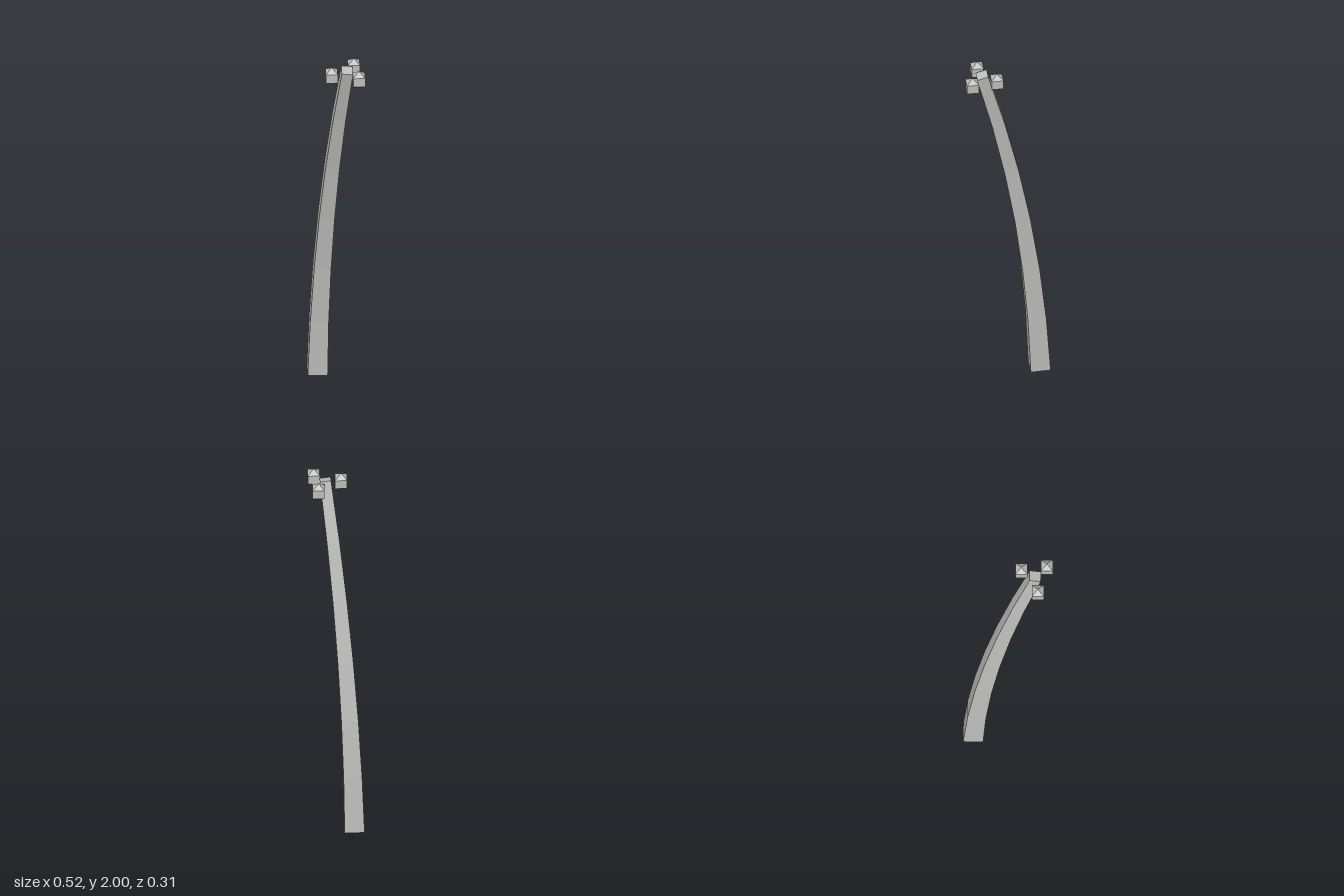
import * as THREE from 'three';

const HEIGHT = 1.97;

// Rise from base to top, bending more strongly towards the top
const bend = (t) => 0.23 * t + 0.77 * t * t;
const bendSlope = (t) => 0.23 + 1.54 * t;

// Give every face its own flat normal
function faceted(geometry) {
  const flat = geometry.toNonIndexed();
  flat.computeVertexNormals();
  return flat;
}

// Four-sided tapering stem, its rings moved and tilted along the curve
function stemGeometry() {
  const base = new THREE.Vector3(-0.188, 0.003, -0.085);
  const leanX = 0.319, leanZ = 0.127;
  const geometry = new THREE.CylinderGeometry(0.04, 0.072, HEIGHT, 4, 6);
  const p = geometry.attributes.position;
  for (let i = 0; i < p.count; i++) {
    const x = p.getX(i), z = p.getZ(i);
    const t = p.getY(i) / HEIGHT + 0.5;
    const tilt = (bendSlope(t) * (leanX * x + leanZ * z)) / HEIGHT;
    p.setXYZ(
      i,
      base.x + leanX * bend(t) + x,
      base.y + HEIGHT * t - tilt,
      base.z + leanZ * bend(t) + z
    );
  }
  return faceted(geometry);
}

export function createModel() {
  const group = new THREE.Group();
  group.name = 'curvedTrunkWithFruit';

  const grey = new THREE.MeshStandardMaterial({ color: 0xbebebc, flatShading: true });
  grey.name = 'grey';

  const trunk = new THREE.Mesh(stemGeometry(), grey);
  trunk.name = 'trunk';
  group.add(trunk);

  // Three faceted fruits around the top
  const fruitGeometry = faceted(new THREE.SphereGeometry(0.05, 4, 3));
  [
    ['backFruit', 0.107, -0.035],
    ['leftFruit', 0.213, 0.043],
    ['frontFruit', 0.084, 0.109],
  ].forEach(([name, x, z]) => {
    const fruit = new THREE.Mesh(fruitGeometry, grey);
    fruit.name = name;
    fruit.position.set(x, 1.95, z);
    group.add(fruit);
  });

  return group;
}
